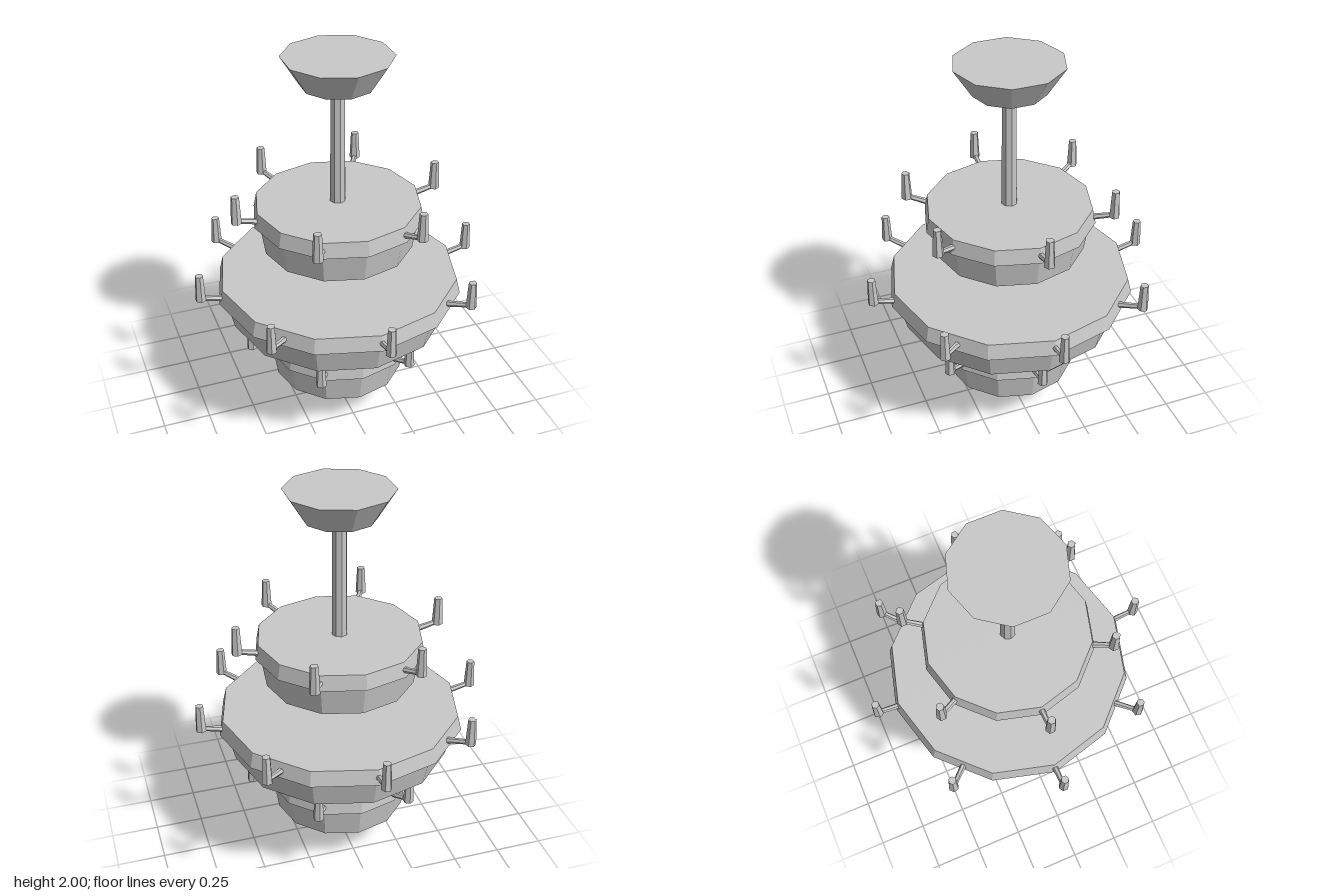
import * as THREE from 'three';

const grey = new THREE.MeshStandardMaterial({ color: 0xc8c8c8 });
grey.name = 'plain grey';

function addMesh(parent, name, geometry) {
  // split shared vertices so every facet keeps its own flat normal
  const flat = geometry.toNonIndexed();
  flat.computeVertexNormals();
  const mesh = new THREE.Mesh(flat, grey);
  mesh.name = name;
  parent.add(mesh);
  return mesh;
}

// tapered prism standing between two heights
function prism(parent, name, rTop, rBottom, y0, y1, sides) {
  const mesh = addMesh(parent, name, new THREE.CylinderGeometry(rTop, rBottom, y1 - y0, sides));
  mesh.position.y = (y0 + y1) / 2;
  return mesh;
}

// one arm reaching out along +x, with a candle at its tip
function lampArm(innerRadius, outerRadius, rimTop) {
  const arm = new THREE.Group();
  arm.name = 'lampArm';
  const start = new THREE.Vector3(innerRadius, rimTop - 0.047, 0);
  const end = new THREE.Vector3(outerRadius, rimTop - 0.018, 0);
  const along = end.clone().sub(start);
  const bar = addMesh(arm, 'armBar', new THREE.CylinderGeometry(0.013, 0.016, along.length(), 6));
  bar.position.copy(start).add(end).multiplyScalar(0.5);
  bar.quaternion.setFromUnitVectors(new THREE.Vector3(0, 1, 0), along.normalize());
  const candle = prism(arm, 'candle', 0.021, 0.028, rimTop - 0.03, rimTop + 0.118, 6);
  candle.position.x = outerRadius;
  return arm;
}

function tier(name, { top, rim, rimTop, drumTop, drumBottom, arms, reach }) {
  const group = new THREE.Group();
  group.name = name;
  prism(group, 'rim', rimTop, rim, top - 0.08, top, 12);
  prism(group, 'drum', drumTop, drumBottom, top - 0.243, top - 0.08, 12);
  for (let i = 0; i < arms; i++) {
    const arm = lampArm(rim - 0.035, reach, top);
    arm.rotation.y = (i / arms) * Math.PI * 2;
    group.add(arm);
  }
  return group;
}

export function createModel() {
  const model = new THREE.Group();
  model.name = 'chandelier';

  // ceiling mount and central pole
  prism(model, 'ceilingMount', 0.277, 0.185, 1.855, 2, 10);
  prism(model, 'pole', 0.037, 0.048, 0.15, 1.87, 8);

  // finial under the lowest tier
  const finial = addMesh(model, 'finial', new THREE.SphereGeometry(0.09, 8, 4));
  finial.scale.y = 1.06;
  finial.position.y = 0.096;

  // three tiers of drums with candle arms
  model.add(
    tier('upperTier', { top: 1.222, rim: 0.443, rimTop: 0.427, drumTop: 0.415, drumBottom: 0.389, arms: 6, reach: 0.535 }),
    tier('middleTier', { top: 0.805, rim: 0.65, rimTop: 0.63, drumTop: 0.612, drumBottom: 0.573, arms: 8, reach: 0.744 }),
    tier('lowerTier', { top: 0.434, rim: 0.394, rimTop: 0.38, drumTop: 0.372, drumBottom: 0.348, arms: 6, reach: 0.488 })
  );
  return model;
}
